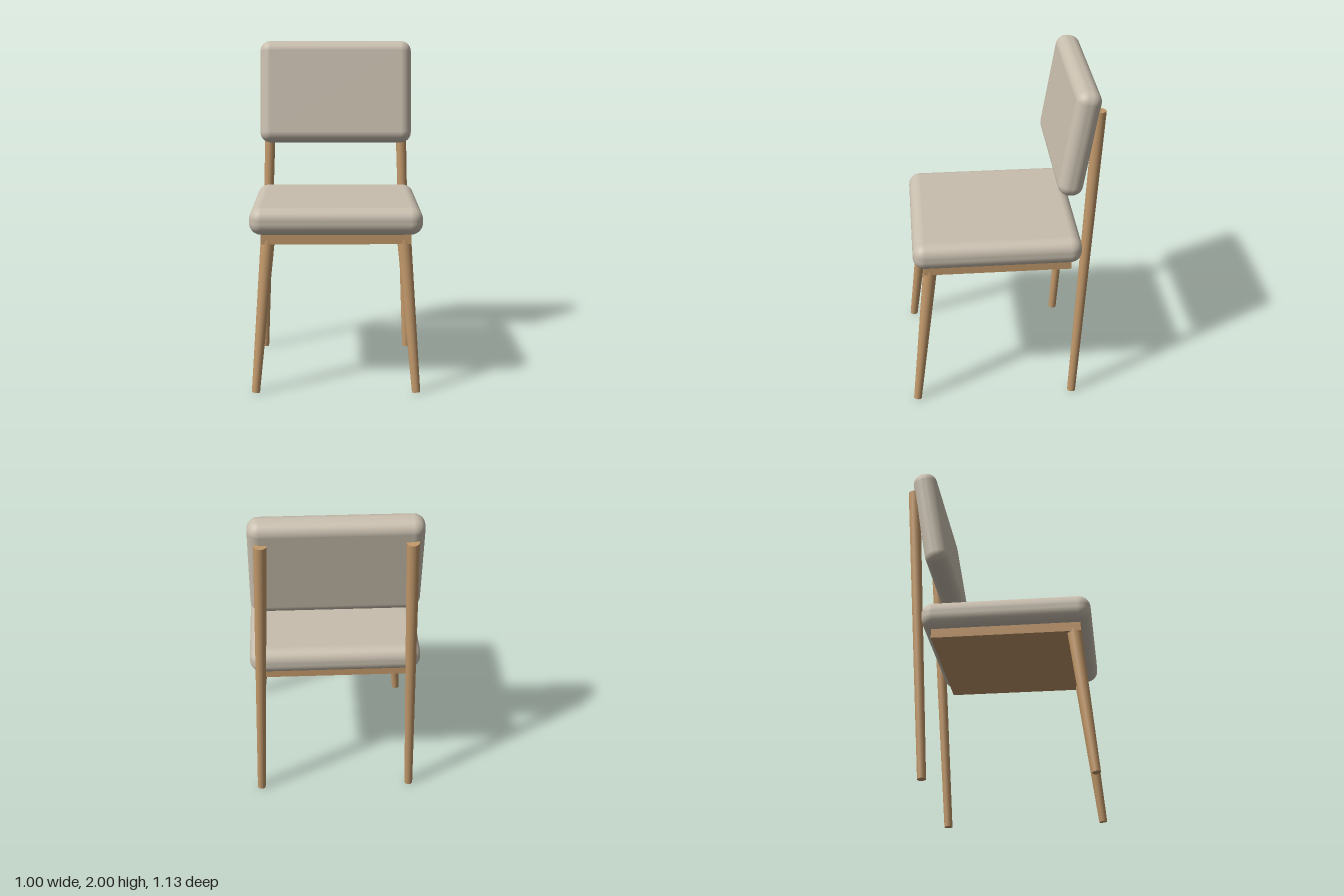
import * as THREE from 'three';
import { RoundedBoxGeometry } from 'three/addons/geometries/RoundedBoxGeometry.js';

const fabric = new THREE.MeshStandardMaterial({ color: 0xc8beae });
fabric.name = 'fabric';
const wood = new THREE.MeshStandardMaterial({ color: 0xc1986a });
wood.name = 'wood';

function add(group, name, geometry, material, x, y, z) {
  const mesh = new THREE.Mesh(geometry, material);
  mesh.name = name;
  mesh.position.set(x, y, z);
  group.add(mesh);
  return mesh;
}

// Tapered round leg running from a foot point to a top point
function addLeg(group, name, foot, top, footRadius, topRadius) {
  const a = new THREE.Vector3(...foot);
  const axis = new THREE.Vector3(...top).sub(a);
  const geometry = new THREE.CylinderGeometry(topRadius, footRadius, axis.length(), 24);
  const mid = a.addScaledVector(axis, 0.5);
  const leg = add(group, name, geometry, wood, mid.x, mid.y, mid.z);
  leg.quaternion.setFromUnitVectors(new THREE.Vector3(0, 1, 0), axis.normalize());
}

export function createModel() {
  const chair = new THREE.Group();
  chair.name = 'chair';

  // Upholstered seat on a wooden base
  add(chair, 'seatCushion', new RoundedBoxGeometry(1, 0.16, 0.99, 6, 0.07), fabric, 0, 1.005, 0.04);
  add(chair, 'seatBase', new THREE.BoxGeometry(0.87, 0.08, 0.87), wood, 0, 0.91, 0.04);

  // Reclined back cushion
  const back = add(chair, 'backCushion', new RoundedBoxGeometry(0.96, 0.645, 0.146, 6, 0.065), fabric, 0, 1.68, -0.418);
  back.rotation.x = -0.165;

  // Splayed front legs, and rear legs that rise to carry the back
  for (const [side, s] of [['left', 1], ['right', -1]]) {
    addLeg(chair, side + 'FrontLeg', [s * 0.467, 0.004, 0.538], [s * 0.395, 0.89, 0.435], 0.024, 0.041);
    addLeg(chair, side + 'RearLeg', [s * 0.466, 0.002, -0.416], [s * 0.41, 1.875, -0.528], 0.025, 0.036);
  }
  return chair;
}
